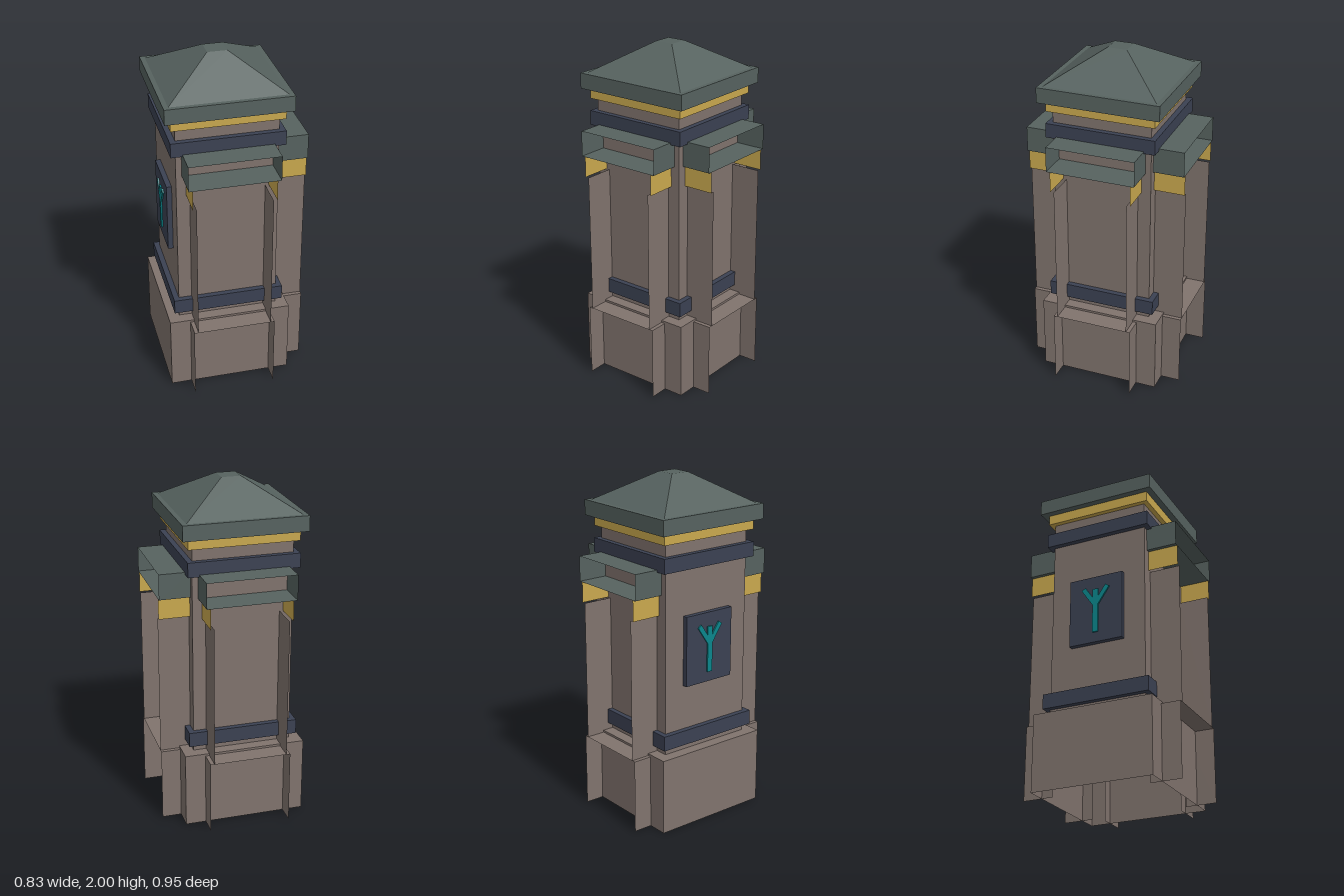
import * as THREE from 'three';

const mat = (name, color, side = THREE.DoubleSide) => {
  const m = new THREE.MeshStandardMaterial({ color, side });
  m.name = name;
  return m;
};

const CX = -0.058; // pillar axis in x
const FACES = ['+x', '-x', '+y', '-y', '+z', '-z'];

// Box given by its limits, leaving out the listed faces
function box(name, material, [x0, x1], [y0, y1], [z0, z1], open = []) {
  const g = new THREE.BoxGeometry(x1 - x0, y1 - y0, z1 - z0);
  const index = [];
  FACES.forEach((f, i) => {
    if (!open.includes(f)) for (let k = 0; k < 6; k++) index.push(g.index.array[i * 6 + k]);
  });
  g.setIndex(index);
  g.clearGroups();
  g.translate((x0 + x1) / 2, (y0 + y1) / 2, (z0 + z1) / 2);
  const mesh = new THREE.Mesh(g, material);
  mesh.name = name;
  return mesh;
}

export function createModel() {
  const stone = mat('stone', 0x80736d);
  const slate = mat('slate', 0x56625f);
  const gold = mat('gold', 0xc9a84e);
  const navy = mat('navy', 0x3b4152);
  const teal = mat('teal', 0x0a868c);

  const model = new THREE.Group();
  model.name = 'pillar';

  // Pillar tiers, square in plan: half width, bottom, top
  const tier = (name, m, h, y0, y1, open) =>
    model.add(box(name, m, [CX - h, CX + h], [y0, y1], [-h, h], open));
  tier('base', stone, 0.36, 0, 0.45, ['-y']);
  tier('shaft', stone, 0.293, 0.45, 1.68, ['+y', '-y']);
  tier('lowerBand', navy, 0.325, 0.49, 0.577);
  tier('upperBand', navy, 0.325, 1.523, 1.608);
  tier('trim', gold, 0.322, 1.68, 1.74);
  tier('eave', slate, 0.36, 1.74, 1.83);

  // Hipped roof with a small flat top
  const s = Math.SQRT2;
  const roofGeo = new THREE.CylinderGeometry(0.057 * s, 0.332 * s, 0.17, 4, 1).toNonIndexed();
  roofGeo.rotateY(Math.PI / 4);
  roofGeo.computeVertexNormals();
  const roof = new THREE.Mesh(roofGeo, slate);
  roof.name = 'roof';
  roof.position.set(CX, 1.915, 0);
  model.add(roof);

  // Hollow wall ends on three sides, open at the outer end
  const ends = [['frontWallEnd', 0], ['leftWallEnd', Math.PI / 2], ['backWallEnd', Math.PI]];
  for (const [name, angle] of ends) {
    const end = new THREE.Group();
    end.name = name;
    const part = (n, m, h, y0, y1, open) =>
      end.add(box(n, m, [-h, h], [y0, y1], [0.293, 0.474], ['+z', '-z', ...open]));
    part('wallBase', stone, 0.24, 0, 0.437, ['-y']);
    part('wallSides', stone, 0.217, 0.437, 1.265, ['+y', '-y']);
    part('wallTrim', gold, 0.238, 1.265, 1.387, ['+y', '-y']);
    part('wallCap', slate, 0.26, 1.387, 1.535, []);
    end.rotation.y = angle;
    end.position.x = CX;
    model.add(end);
  }

  // Plaque on the free side, with a branching emblem
  const px = CX - 0.293;
  model.add(box('plaque', navy, [px - 0.03, px], [0.84, 1.252], [-0.165, 0.165]));
  const bar = (name, z0, y0, z1, y1, w) => {
    const len = Math.hypot(z1 - z0, y1 - y0);
    const mesh = new THREE.Mesh(new THREE.BoxGeometry(0.009, len, w), teal);
    mesh.name = name;
    mesh.position.set(px - 0.0345, (y0 + y1) / 2, (z0 + z1) / 2);
    mesh.rotation.x = Math.atan2(z1 - z0, y1 - y0);
    model.add(mesh);
  };
  bar('emblemStem', 0, 0.9, 0, 1.17, 0.034);
  for (const side of [-1, 1]) bar('emblemArm', 0, 1.07, side * 0.075, 1.18, 0.028);

  return model;
}
